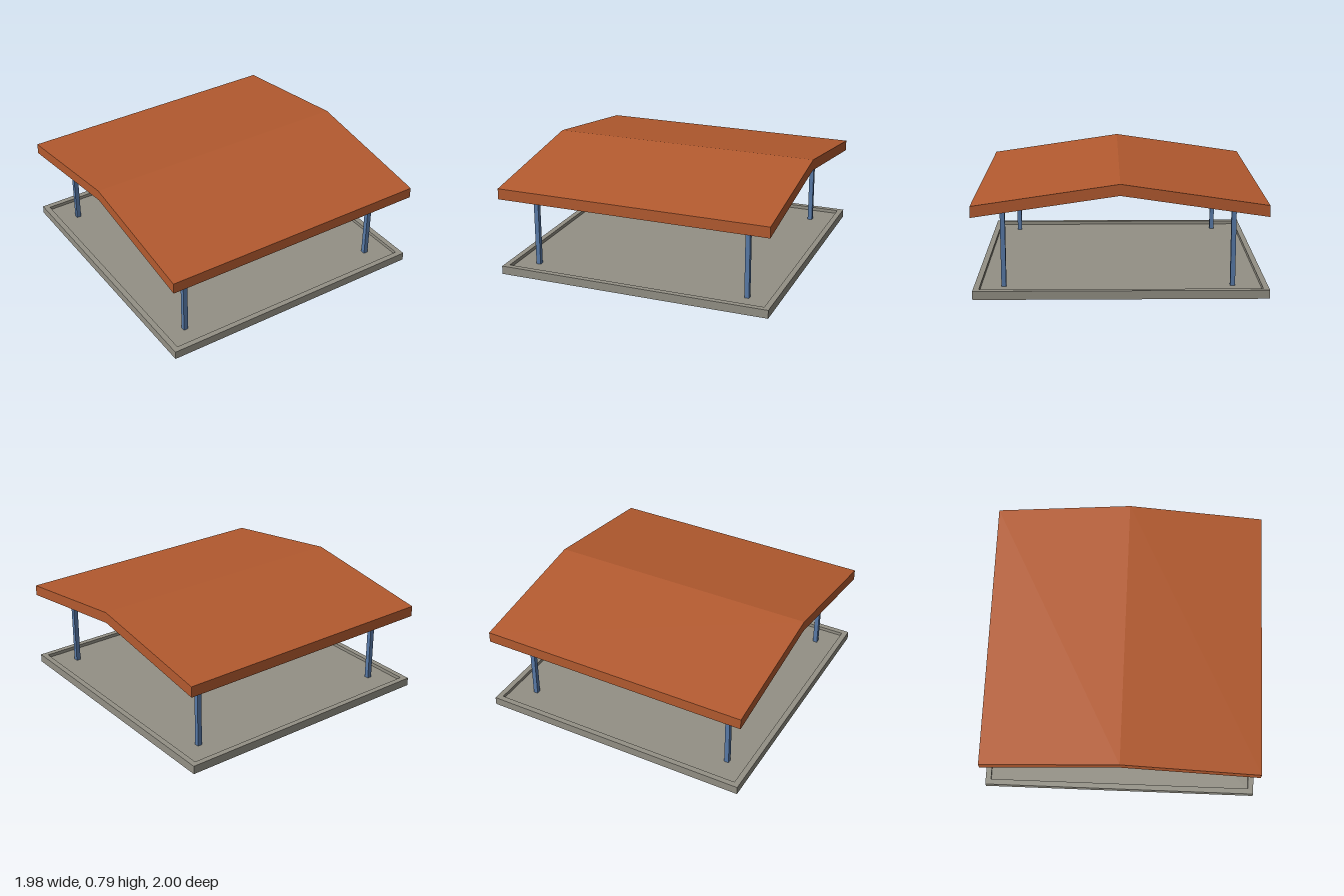
import * as THREE from 'three';

export function createModel() {
  const group = new THREE.Group();
  const terracotta = new THREE.MeshStandardMaterial({ color: 0xb35a2f });
  const concrete = new THREE.MeshStandardMaterial({ color: 0x939085 });
  const blueSteel = new THREE.MeshStandardMaterial({ color: 0x587aa8 });
  terracotta.name = 'terracotta';
  concrete.name = 'concrete';
  blueSteel.name = 'blueSteel';

  const width = 1.98, half = width / 2;
  const rim = 0.04, floorY = 0.035, baseTop = 0.06;

  function add(name, geometry, material, x = 0, y = 0, z = 0) {
    const mesh = new THREE.Mesh(geometry, material);
    mesh.name = name;
    mesh.position.set(x, y, z);
    group.add(mesh);
  }

  // Floor slab, with a raised kerb running all round it
  add('floor', new THREE.BoxGeometry(width, floorY, 2), concrete, 0, floorY / 2, 0);
  const rect = (P, x, z) => new P([[-x, -z], [x, -z], [x, z], [-x, z]].map(p => new THREE.Vector2(...p)));
  const kerb = rect(THREE.Shape, half, 1);
  kerb.holes.push(rect(THREE.Path, half - rim, 1 - rim));
  const kerbGeometry = new THREE.ExtrudeGeometry(kerb, { depth: baseTop - floorY, bevelEnabled: false });
  kerbGeometry.rotateX(-Math.PI / 2);
  add('kerb', kerbGeometry, concrete, 0, floorY, 0);

  // Four square posts reaching the roof underside
  const postTop = 0.6;
  for (const [x, z] of [[-0.795, 0.804], [0.781, 0.804], [-0.802, -0.769], [0.781, -0.769]]) {
    const height = postTop - floorY;
    add('post', new THREE.BoxGeometry(0.033, height, 0.033), blueSteel, x, floorY + height / 2, z);
  }

  // Shallow gabled roof: a chevron section drawn in (z, y), extruded along x
  const section = new THREE.Shape([
    [1, 0.566], [1, 0.644], [0.007, 0.79], [-0.985, 0.644], [-0.985, 0.566], [0.007, 0.712],
  ].map(([z, y]) => new THREE.Vector2(-z, y)));
  const roof = new THREE.ExtrudeGeometry(section, { depth: width, bevelEnabled: false });
  roof.translate(0, 0, -half);
  roof.rotateY(Math.PI / 2);
  add('roof', roof, terracotta);

  return group;
}
